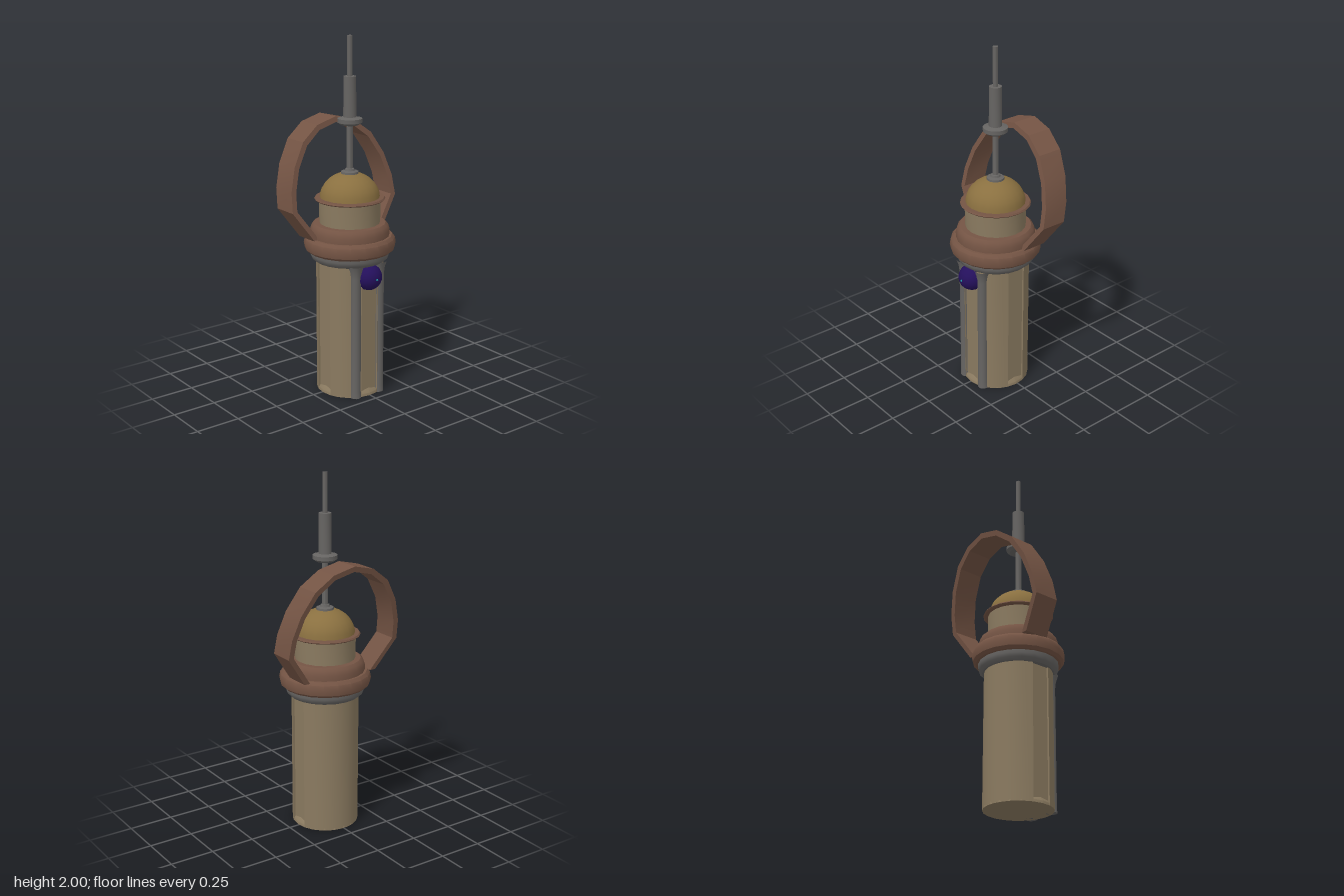
import * as THREE from 'three';
import { toCreasedNormals } from 'three/addons/utils/BufferGeometryUtils.js';

const AXIS = 0.01; // the tower stands slightly off the centre of the bounds
const mat = (color, side = THREE.FrontSide) => new THREE.MeshStandardMaterial({ color, side });

export function createModel() {
  const group = new THREE.Group();
  const stone = mat(0x8a7a60), copper = mat(0x745444), brass = mat(0x8a7040);
  const iron = mat(0x666462), glass = mat(0x24105c), cyan = mat(0x2090a0);

  const add = (name, geometry, material, x = 0, y = 0, z = 0) => {
    const mesh = new THREE.Mesh(geometry, material);
    mesh.name = name;
    mesh.position.set(x, y, z);
    group.add(mesh);
    return mesh;
  };
  // Turned part from [radius, height] pairs, listed bottom to top
  const turn = (name, profile, material, sides = 20) => add(name, toCreasedNormals(
    new THREE.LatheGeometry(profile.map(([r, y]) => new THREE.Vector2(r, y)), sides), 0.6), material, AXIS);

  // Shaft: round column with flat recessed panels on the front, back and +x side
  const R = 0.188, H = 0.055, D = 0.168, half = Math.asin(H / R);
  const outline = [];
  const arc = (from, to, n) => {
    for (let i = 0; i <= n; i++) {
      const a = from + (to - from) * i / n;
      outline.push(new THREE.Vector2(R * Math.cos(a), R * Math.sin(a)));
    }
  };
  const Q = Math.PI / 2;
  outline.push(new THREE.Vector2(D, H));
  arc(half, Q - half, 4);
  outline.push(new THREE.Vector2(H, D), new THREE.Vector2(-H, D));
  arc(Q + half, 3 * Q - half, 9);
  outline.push(new THREE.Vector2(-H, -D), new THREE.Vector2(H, -D));
  arc(3 * Q + half, 4 * Q - half, 4);
  outline.push(new THREE.Vector2(D, -H));
  const shaft = new THREE.ExtrudeGeometry(new THREE.Shape(outline), { depth: 0.78, bevelEnabled: false });
  shaft.rotateX(-Q);
  add('shaft', toCreasedNormals(shaft, 0.5), stone, AXIS);
  turn('base', [[0, 0], [0.188, 0], [0.186, 0.015], [0.166, 0.04], [0, 0.04]], stone);

  // Two rods flaring into the ring above
  for (const s of [1, -1]) {
    const rod = new THREE.LatheGeometry([[0, 0], [0.031, 0], [0.029, 0.04], [0.029, 0.7],
      [0.034, 0.74], [0.046, 0.775]].map(([r, y]) => new THREE.Vector2(r, y)), 12);
    add('rod', toCreasedNormals(rod, 0.6), iron, 0.169, 0, 0.08 * s);
  }

  // Lamp between the rods
  const lamp = new THREE.SphereGeometry(0.075, 14, 10);
  lamp.rotateZ(-Q);
  add('lamp', lamp, glass, 0.18, 0.7);
  add('lampCentre', new THREE.SphereGeometry(0.007, 8, 6), cyan, 0.253, 0.7);

  // Rings and collar
  turn('lowerRing', [[0.17, 0.765], [0.198, 0.765], [0.215, 0.78], [0.222, 0.8], [0.22, 0.825], [0.17, 0.825]], iron);
  turn('collar', [[0.18, 0.818], [0.235, 0.818], [0.25, 0.832], [0.256, 0.86], [0.25, 0.89],
    [0.235, 0.906], [0.18, 0.906]], copper);
  turn('upperCollar', [[0.19, 0.9], [0.221, 0.905], [0.221, 0.935], [0.212, 0.962], [0.198, 0.975], [0.15, 0.977]], copper);
  turn('drum', [[0.168, 0.96], [0.17, 1.11], [0, 1.11]], stone);
  turn('rim', [[0.16, 1.106], [0.19, 1.106], [0.196, 1.112], [0.19, 1.12], [0.14, 1.12]], copper);

  // Dome
  const dome = [];
  for (let i = 0; i <= 8; i++) {
    const a = Q * i / 8;
    dome.push([0.166 * Math.cos(a), 1.115 + 0.143 * Math.sin(a)]);
  }
  turn('dome', dome, brass);

  // Mast with foot, hub and sleeve
  turn('mast', [[0, 1.24], [0.05, 1.245], [0.048, 1.262], [0.028, 1.267], [0.024, 1.278], [0.017, 1.28],
    [0.017, 1.52], [0.05, 1.52], [0.068, 1.533], [0.068, 1.555], [0.036, 1.563], [0.034, 1.783],
    [0.014, 1.783], [0.014, 2], [0, 2]], iron, 16);

  // Tilted hoop: half-outline mirrored, extruded along x and sheared backward with height
  const outer = [[0.235, 0.9], [0.355, 1.07], [0.347, 1.18], [0.307, 1.31], [0.233, 1.434], [0.127, 1.513]];
  const inner = [[0.2, 0.9], [0.325, 1.075], [0.317, 1.175], [0.28, 1.297], [0.21, 1.412], [0.115, 1.485]];
  const mirror = (pts) => pts.map(([z, y]) => [-z, y]).reverse();
  const loop = [...outer, [0, 1.545], ...mirror(outer), ...inner.map(([z, y]) => [-z, y]), [0, 1.514],
    ...[...inner].reverse()];
  const hoop = new THREE.ExtrudeGeometry(new THREE.Shape(loop.map(([z, y]) => new THREE.Vector2(z, y))),
    { depth: 0.146, bevelEnabled: false });
  hoop.rotateY(-Q); // extrusion now runs along -x
  const p = hoop.attributes.position;
  for (let i = 0; i < p.count; i++) p.setX(i, p.getX(i) - 0.12 + 0.195 * (1.545 - p.getY(i)));
  add('hoop', toCreasedNormals(hoop, 0.3), copper);

  return group;
}
